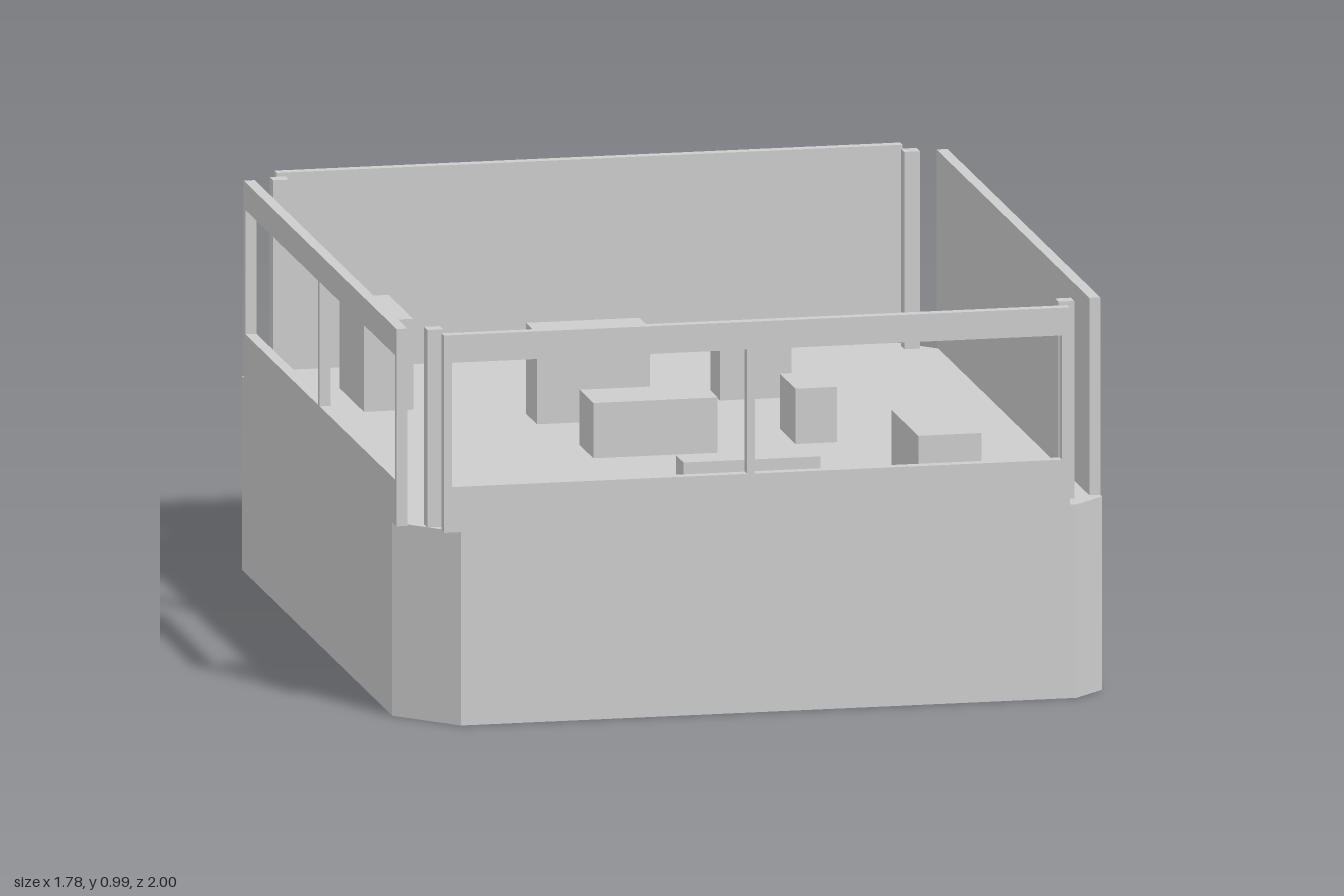
import * as THREE from 'three';

const FLOOR = 0.49, TOP = 0.99, THICK = 0.028;

export function createModel() {
  const model = new THREE.Group();
  model.name = 'roomBlock';
  const grey = new THREE.MeshStandardMaterial({ color: 0xcccccc });
  grey.name = 'plainGrey';

  const add = (name, geometry) => {
    const mesh = new THREE.Mesh(geometry, grey);
    mesh.name = name;
    model.add(mesh);
    return mesh;
  };
  // Box given by its limits on each axis
  const box = (name, x0, x1, y0, y1, z0, z1) =>
    add(name, new THREE.BoxGeometry(x1 - x0, y1 - y0, z1 - z0))
      .position.set((x0 + x1) / 2, (y0 + y1) / 2, (z0 + z1) / 2);

  // Solid base with two narrow and two wide cut corners
  const outline = [
    [-0.75, 1], [0.81, 1], [0.892, 0.92], [0.892, -0.85],
    [0.75, -1], [-0.81, -1], [-0.892, -0.92], [-0.892, 0.85],
  ];
  const baseShape = new THREE.Shape(outline.map(([x, z]) => new THREE.Vector2(x, -z)));
  add('base', new THREE.ExtrudeGeometry(baseShape, { depth: FLOOR, bevelEnabled: false })
    .rotateX(-Math.PI / 2));

  // Wall with two window openings and a thin mullion
  const rect = (path, x0, x1, y0, y1) =>
    path.moveTo(x0, y0).lineTo(x1, y0).lineTo(x1, y1).lineTo(x0, y1).closePath();
  const windowWall = (half) => {
    const shape = new THREE.Shape();
    rect(shape, -half, half, FLOOR, TOP);
    for (const [a, b] of [[-half + 0.02, -0.025], [-0.005, half - 0.02]]) {
      const hole = new THREE.Path();
      rect(hole, a, b, 0.605, 0.92);
      shape.holes.push(hole);
    }
    return new THREE.ExtrudeGeometry(shape, { depth: THICK, bevelEnabled: false });
  };
  add('frontWindowWall', windowWall(0.793).translate(0, 0, 1 - THICK));
  add('rightWindowWall', windowWall(0.9).rotateY(-Math.PI / 2).translate(-0.892 + THICK, 0, 0));

  // Solid walls
  box('backWall', -0.793, 0.793, FLOOR, TOP, -1, -1 + THICK);
  box('leftWall', 0.892 - THICK, 0.892, FLOOR, TOP, -0.9, 0.9);

  // Corner posts
  for (const x of [-0.8, 0.8]) for (const z of [-0.908, 0.908])
    box('cornerPost', x - 0.02, x + 0.02, FLOOR, TOP, z - 0.02, z + 0.02);

  // Furniture blocks: x0, x1, z0, z1, top
  const blocks = [
    ['tallCabinet', -0.685, -0.56, -0.735, -0.445, 0.72],
    ['tallCounter', -0.297, -0.01, -0.34, -0.21, 0.72],
    ['smallBench', 0.205, 0.387, -0.5, -0.39, 0.635],
    ['smallTable', 0.28, 0.385, 0.03 - 0.06, 0.153, 0.63],
    ['centreTable', -0.245, 0.07, 0.052, 0.213, 0.63],
    ['sideTable', 0.46, 0.62, 0.45, 0.763, 0.63],
    ['windowBench', -0.175, 0.172, 0.858, 0.95, 0.63],
  ];
  for (const [name, x0, x1, z0, z1, top] of blocks) box(name, x0, x1, FLOOR, top, z0, z1);

  return model;
}
